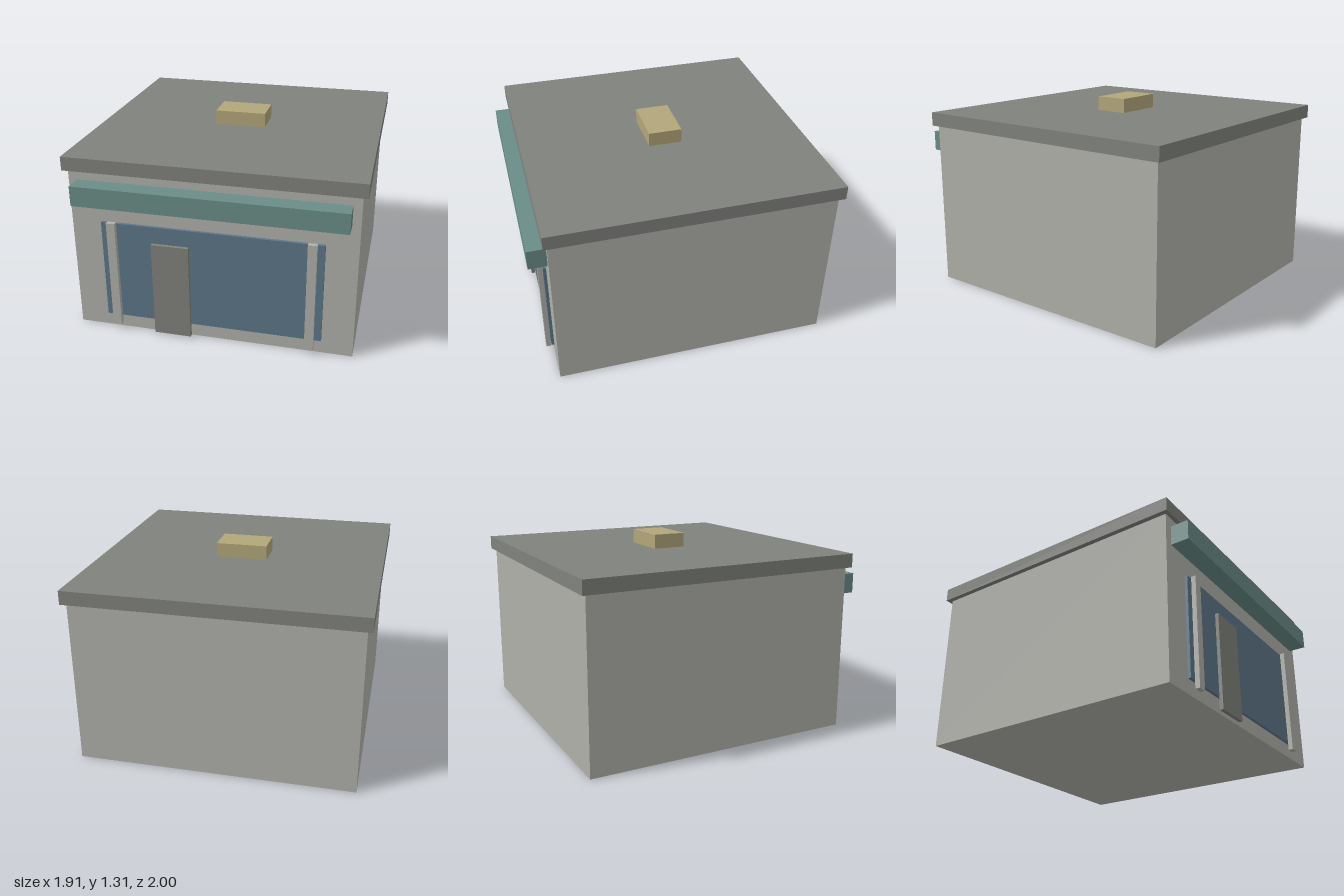
import * as THREE from 'three';

export function createModel() {
  const group = new THREE.Group();

  const material = (name, color) => {
    const m = new THREE.MeshStandardMaterial({ color });
    m.name = name;
    return m;
  };
  const wallGrey = material('wall grey', 0xb0b0aa);
  const darkGrey = material('dark grey', 0x80827d);
  const teal = material('awning teal', 0x6a8d87);
  const glassBlue = material('glass blue', 0x5d7688);
  const tan = material('vent tan', 0xb3a67a);

  // Box given by its extents along each axis
  const box = (name, mat, [x0, x1], [y0, y1], [z0, z1]) => {
    const mesh = new THREE.Mesh(new THREE.BoxGeometry(x1 - x0, y1 - y0, z1 - z0), mat);
    mesh.position.set((x0 + x1) / 2, (y0 + y1) / 2, (z0 + z1) / 2);
    mesh.name = name;
    group.add(mesh);
  };

  // Building shell
  box('walls', wallGrey, [-0.925, 0.925], [0, 1.12], [-0.97, 0.88]);
  box('roofSlab', darkGrey, [-0.957, 0.957], [1.12, 1.212], [-1, 0.907]);
  box('roofVent', tan, [-0.173, 0.173], [1.212, 1.308], [-0.16, 0.065]);

  // Shop front
  box('awning', teal, [-0.87, 0.87], [0.925, 1.058], [0.88, 1]);
  box('shopWindow', glassBlue, [-0.722, 0.722], [0.098, 0.782], [0.88, 0.899]);
  box('door', darkGrey, [-0.385, -0.138], [0.012, 0.668], [0.897, 0.922]);

  // Window posts on both sides
  for (const side of [-1, 1]) {
    const x = side * 0.647;
    box(side > 0 ? 'leftPost' : 'rightPost', wallGrey, [x - 0.029, x + 0.029], [0.045, 0.792], [0.899, 0.93]);
  }

  return group;
}
